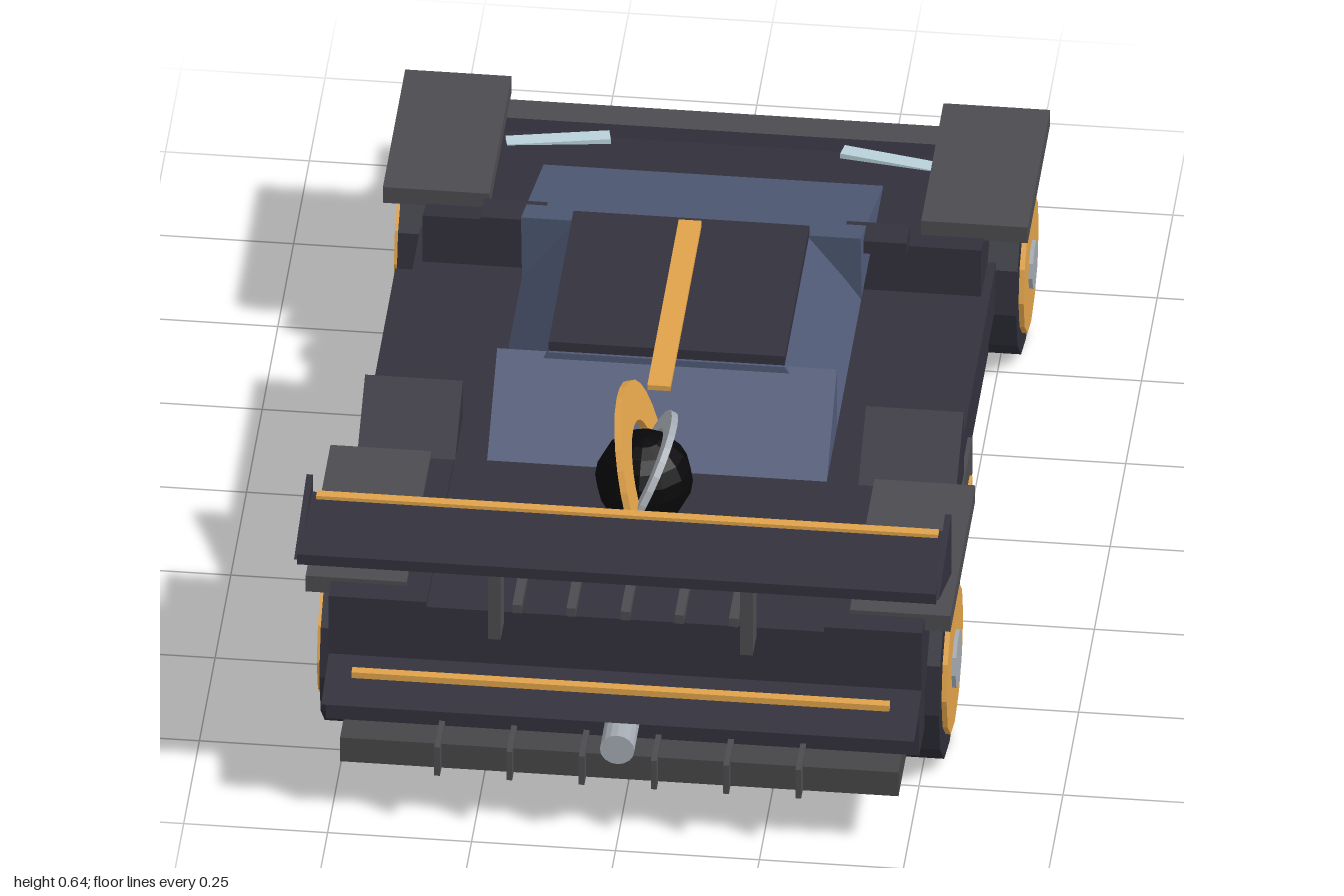
import * as THREE from 'three';

const mat = (color) => new THREE.MeshStandardMaterial({ color, flatShading: true });
const BODY = mat(0x32313d), GREY = mat(0x4c4c50), GLASS = mat(0x4f5a76), GOLD = mat(0xe0a24a);
const TYRE = mat(0x2e2d38), SILVER = mat(0xa4aab2), LIGHT = mat(0xb8d0da), BLACK = mat(0x08080a), FLOOR = mat(0x464648);

export function createModel() {
  const car = new THREE.Group();
  car.name = 'raceCar';

  const add = (name, geo, material, parent = car) => {
    const m = new THREE.Mesh(geo, material);
    m.name = name;
    parent.add(m);
    return m;
  };
  // Box given by its limits on each axis
  const box = (name, material, [x0, x1], [y0, y1], [z0, z1]) => {
    const m = add(name, new THREE.BoxGeometry(x1 - x0, y1 - y0, z1 - z0), material);
    m.position.set((x0 + x1) / 2, (y0 + y1) / 2, (z0 + z1) / 2);
    return m;
  };
  // Side profile of [z, y] points, swept across x
  const profile = (name, material, points, x0, x1) => {
    const shape = new THREE.Shape(points.map(([z, y]) => new THREE.Vector2(-z, y)));
    const geo = new THREE.ExtrudeGeometry(shape, { depth: x1 - x0, bevelEnabled: false });
    geo.rotateY(Math.PI / 2).translate(x0, 0, 0);
    return add(name, geo, material);
  };
  // Range mirrored to the chosen side
  const span = (s, a, b) => (s > 0 ? [a, b] : [-b, -a]);

  // Floor, splitter and lower body
  box('undertray', FLOOR, [-0.485, 0.485], [0.11, 0.16], [-0.87, 0.94]);
  const splitter = box('splitter', GREY, [-0.515, 0.515], [0.136, 0.154], [-1, -0.85]);
  splitter.rotation.x = 0.04;
  box('lowerBody', BODY, [-0.5, 0.5], [0.16, 0.245], [-0.75, 0.86]);
  profile('nose', BODY, [[-0.375, 0.24], [-0.375, 0.342], [-0.78, 0.245], [-0.94, 0.16], [-0.7, 0.16], [-0.7, 0.24]], -0.485, 0.485);

  // Cabin
  box('cabinBase', BODY, [-0.515, 0.515], [0.24, 0.34], [-0.215, 0.43]);
  profile('windscreen', GLASS, [[-0.2, 0.475], [-0.215, 0.34], [-0.5, 0.335], [-0.56, 0.335]], -0.295, 0.295);
  profile('rearWindow', GLASS, [[0.18, 0.465], [0.34, 0.34], [0.18, 0.34]], -0.295, 0.295);
  const section = new THREE.Shape([[-0.295, 0.34], [0.295, 0.34], [0.205, 0.47], [-0.205, 0.47]].map((p) => new THREE.Vector2(...p)));
  add('sideWindows', new THREE.ExtrudeGeometry(section, { depth: 0.4, bevelEnabled: false }), GLASS).position.z = -0.21;
  box('roof', BODY, [-0.205, 0.205], [0.465, 0.489], [-0.21, 0.185]);
  box('roofStripe', GOLD, [-0.02, 0.02], [0.489, 0.499], [-0.19, 0.31]);

  // Engine deck and tail
  box('engineDeck', BODY, [-0.345, 0.345], [0.24, 0.38], [0.43, 0.845]);
  profile('tailShelf', BODY, [[0.84, 0.27], [0.965, 0.245], [0.84, 0.24]], -0.515, 0.515);
  box('tailPanel', BODY, [-0.515, 0.515], [0.16, 0.242], [0.8, 0.885]);
  box('tailStripe', GOLD, [-0.467, 0.467], [0.276, 0.288], [0.908, 0.924]);
  for (let i = -2; i <= 2; i++) {
    const x = i * 0.094;
    box('deckRib', GREY, [x - 0.008, x + 0.008], [0.378, 0.396], [0.7, 0.845]);
  }
  for (let i = 0; i < 6; i++) {
    const x = (i - 2.5) * 0.1255;
    box('diffuserFin', GREY, [x - 0.005, x + 0.005], [0.11, 0.17], [0.84, 0.965]);
  }
  const exhaust = add('exhaust', new THREE.CylinderGeometry(0.03, 0.03, 0.115, 16), SILVER);
  exhaust.rotation.x = Math.PI / 2;
  exhaust.position.set(0, 0.195, 0.917);

  // Rear wing
  box('wing', BODY, [-0.555, 0.555], [0.552, 0.573], [0.795, 0.985]);
  box('wingStripe', GOLD, [-0.54, 0.54], [0.572, 0.58], [0.8, 0.817]);

  // Wheel with rim and hub, facing outward on side s
  const wheel = (s, z, r, rim, hub) => {
    const g = new THREE.Group();
    g.name = z > 0 ? 'rearWheel' : 'frontWheel';
    [['tyre', r, 0.4, 0.538, TYRE], ['rim', rim, 0.41, 0.547, GOLD], ['hub', hub, 0.42, 0.554, SILVER]].forEach(([name, rad, a, b, m]) => {
      const geo = new THREE.CylinderGeometry(rad, rad, b - a, name === 'hub' ? 10 : 12);
      add(name, geo.rotateZ(Math.PI / 2).translate((s * (a + b)) / 2, 0, 0), m, g);
    });
    g.position.set(0, r, z);
    car.add(g);
  };

  for (const s of [1, -1]) {
    wheel(s, 0.61, 0.175, 0.132, 0.053);
    wheel(s, -0.605, 0.157, 0.12, 0.044);

    // Fenders, side pods and intakes
    box('rearFender', GREY, span(s, 0.385, 0.56), [0.365, 0.398], [0.405, 0.8]);
    box('frontFender', GREY, span(s, 0.375, 0.56), [0.325, 0.358], [-0.785, -0.43]);
    box('rearHaunch', BODY, span(s, 0.345, 0.515), [0.24, 0.39], [0.42, 0.845]);
    box('sidePod', GREY, span(s, 0.4, 0.523), [0.215, 0.29], [0.11, 0.445]);
    box('sideStripe', GOLD, span(s, 0.5, 0.528), [0.225, 0.241], [0.155, 0.435]);
    profile('intake', BODY, [[0.22, 0.42], [0.43, 0.285], [0.22, 0.285]], ...span(s, 0.35, 0.52));
    box('mirror', BODY, span(s, 0.26, 0.37), [0.414, 0.44], [-0.3, -0.243]);

    // Wing mounts and end plates
    box('wingMount', GREY, span(s, 0.208, 0.23), [0.375, 0.555], [0.865, 0.922]);
    profile('endPlate', BODY, [[0.785, 0.602], [0.785, 0.477], [0.985, 0.562]], ...span(s, 0.549, 0.56));

    // Lamps on the nose
    const lamp = box('lampStrip', LIGHT, span(s, 0.2, 0.38), [0.246, 0.262], [-0.76, -0.733]);
    lamp.rotation.y = -s * 0.2;
    box('lampPost', LIGHT, span(s, 0.427, 0.437), [0.215, 0.26], [-0.855, -0.8]);
    box('lampFoot', LIGHT, span(s, 0.422, 0.442), [0.225, 0.245], [-0.82, -0.785]);
  }

  // Ringed sphere above the engine
  const core = new THREE.Group();
  core.name = 'ringedSphere';
  core.position.set(0, 0.47, 0.545);
  car.add(core);
  add('sphere', new THREE.SphereGeometry(0.085, 12, 10), BLACK, core);
  const ring = (name, outer, inner, tilt, material) => {
    const shape = new THREE.Shape().absarc(0, 0, outer, 0, Math.PI * 2);
    shape.holes.push(new THREE.Path().absarc(0, 0, inner, 0, Math.PI * 2, true));
    const geo = new THREE.ExtrudeGeometry(shape, { depth: 0.012, bevelEnabled: false, curveSegments: 14 });
    add(name, geo.translate(0, 0, -0.006).rotateY(Math.PI / 2), material, core).rotation.z = tilt;
  };
  ring('outerRing', 0.17, 0.1, 0.25, GOLD);
  ring('innerRing', 0.125, 0.09, -0.43, SILVER);

  return car;
}
